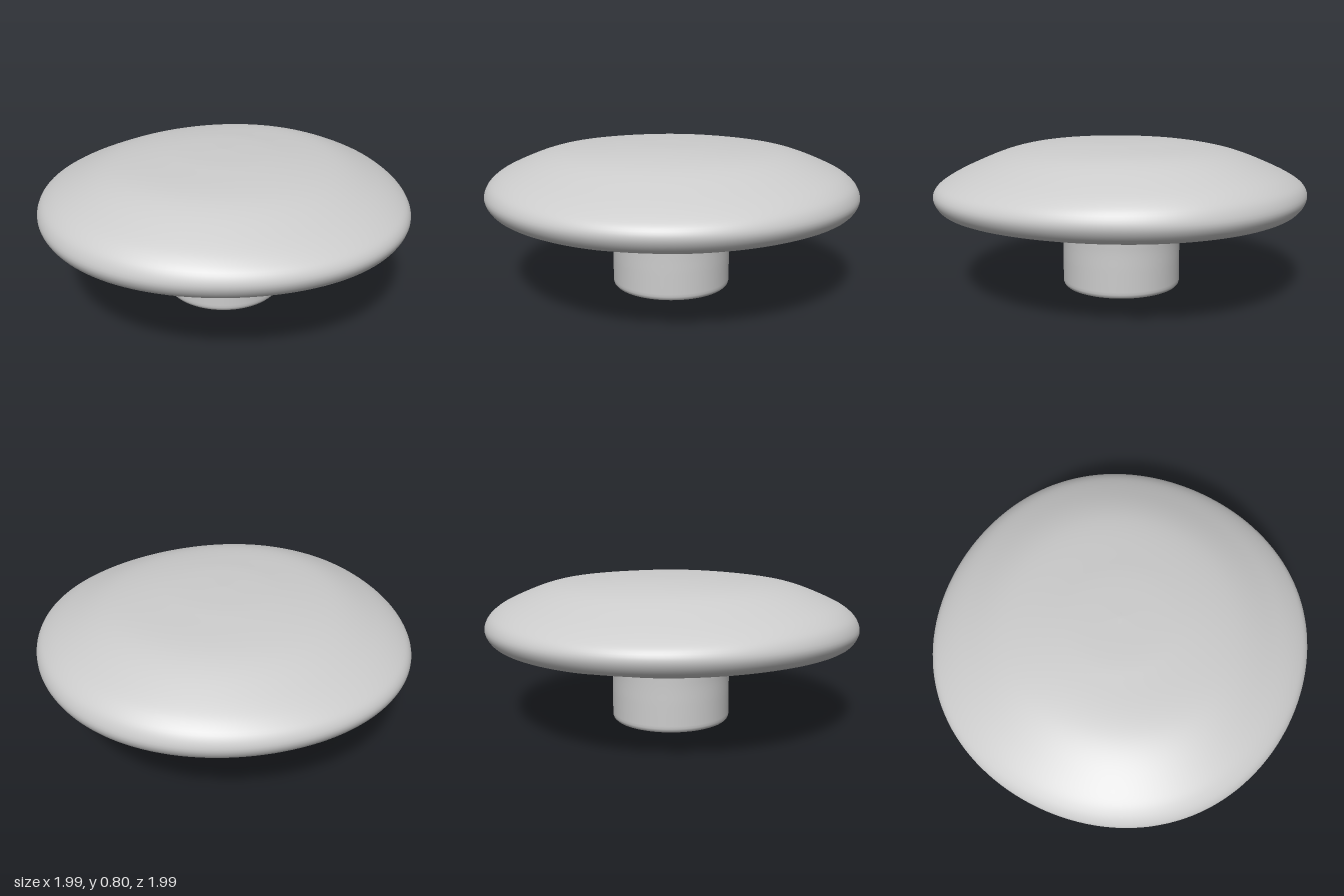
import * as THREE from 'three';
import { mergeVertices } from 'three/addons/utils/BufferGeometryUtils.js';

const { smoothstep } = THREE.MathUtils;

// Outline from the stem's side, out along the underside and over the domed cap
const outline = [
  [0.32, 0.025], [0.32, 0.15], [0.32, 0.27], [0.326, 0.33], [0.355, 0.383], [0.41, 0.41],
  [0.5, 0.42], [0.7, 0.423], [0.88, 0.434], [0.96, 0.46], [0.995, 0.52], [0.98, 0.57],
  [0.93, 0.615], [0.8, 0.68], [0.6, 0.75], [0.3, 0.79], [0, 0.8],
];

// Finger scoop: an oval hollow with a flat floor and a soft wall
function scoop(x, z) {
  const q = Math.hypot(x / 0.42, (Math.abs(z) - 0.57) / 0.38);
  return 0.13 * (1 - smoothstep(q, 0.55, 1));
}

function knobGeometry() {
  const curve = new THREE.CatmullRomCurve3(
    outline.map(([r, y]) => new THREE.Vector3(r, y, 0)), false, 'centripetal');
  const points = [[0, 0], [0.15, 0], [0.285, 0], [0.298, 0.001], [0.308, 0.005], [0.316, 0.013]]
    .map(([r, y]) => new THREE.Vector2(r, y));
  for (const p of curve.getSpacedPoints(150)) points.push(new THREE.Vector2(Math.max(p.x, 0), p.y));

  let geometry = new THREE.LatheGeometry(points, 144);
  const pos = geometry.attributes.position;
  for (let i = 0; i < pos.count; i++) {
    let x = pos.getX(i), y = pos.getY(i), z = pos.getZ(i);
    const r = Math.hypot(x, z);
    const angle = Math.atan2(z, x);
    if (y < 0.52) {
      // Hollow the underside, easing out down the stem
      y += scoop(x, z) * smoothstep(y, 0.2, 0.4);
    } else {
      // The dome is a little fuller toward the sides than front and back
      y += 0.014 * Math.cos(2 * angle) * smoothstep(r, 0.3, 0.8) * smoothstep(y, 0.52, 0.64);
    }
    // Slightly squared plan at the rim
    const s = 1 - 0.008 * (1 - Math.cos(4 * angle)) * smoothstep(r, 0.4, 0.95);
    pos.setXYZ(i, x * s, y, z * s);
  }

  // Weld the seam for continuous smooth normals
  geometry.deleteAttribute('uv');
  geometry.deleteAttribute('normal');
  geometry = mergeVertices(geometry, 1e-5);
  geometry.computeVertexNormals();
  return geometry;
}

export function createModel() {
  const group = new THREE.Group();
  group.name = 'mushroomKnob';
  const grey = new THREE.MeshStandardMaterial({ color: 0xcccccc });
  grey.name = 'light grey';
  const knob = new THREE.Mesh(knobGeometry(), grey);
  knob.name = 'capAndStem';
  group.add(knob);
  return group;
}
